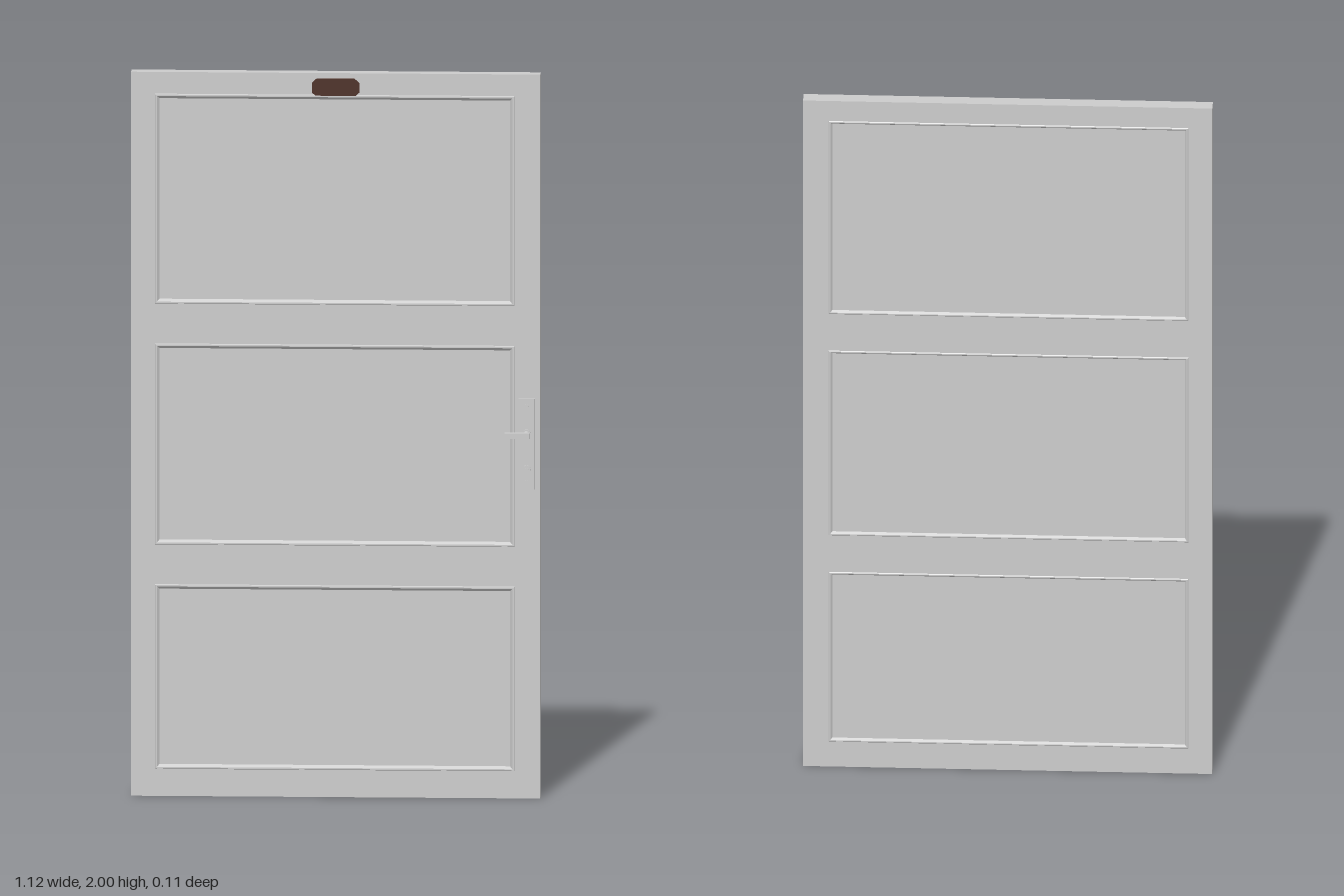
import * as THREE from 'three';

const FRONT = -0.012, BACK = -0.055;
const grey = new THREE.MeshStandardMaterial({ color: 0xcccccc, flatShading: true });
const smooth = new THREE.MeshStandardMaterial({ color: 0xcccccc });
const brown = new THREE.MeshStandardMaterial({ color: 0x4a2a20 });

// panel openings: [x0, y0, x1, y1]
const OPENINGS = [
  [-0.495, 1.36, 0.49, 1.94],
  [-0.495, 0.695, 0.49, 1.25],
  [-0.495, 0.075, 0.49, 0.585],
];

const corners = ([x0, y0, x1, y1], i = 0) =>
  [[x0 + i, y0 + i], [x1 - i, y0 + i], [x1 - i, y1 - i], [x0 + i, y1 - i]];

function polygon(points, Type = THREE.Shape) {
  return new Type(points.map(([x, y]) => new THREE.Vector2(x, y)));
}

function add(parent, name, geometry, material, x = 0, y = 0, z = 0) {
  const mesh = new THREE.Mesh(geometry, material);
  mesh.name = name;
  mesh.position.set(x, y, z);
  parent.add(mesh);
  return mesh;
}

// nested rectangles of [inset, z], closed by a flat panel at the last one
function panelGeometry(rect, profile, facesBack) {
  const pos = [];
  const idx = [];
  profile.forEach(([inset, z]) => corners(rect, inset).forEach(([x, y]) => pos.push(x, y, z)));
  const quad = (a, b, c, d) =>
    (facesBack ? idx.push(a, c, b, a, d, c) : idx.push(a, b, c, a, c, d));
  for (let r = 0; r < profile.length - 1; r++) {
    for (let k = 0; k < 4; k++) {
      const n = (k + 1) % 4;
      quad(r * 4 + k, r * 4 + n, r * 4 + 4 + n, r * 4 + 4 + k);
    }
  }
  const last = (profile.length - 1) * 4;
  quad(last, last + 1, last + 2, last + 3);
  const indexed = new THREE.BufferGeometry();
  indexed.setAttribute('position', new THREE.Float32BufferAttribute(pos, 3));
  indexed.setIndex(idx);
  const g = indexed.toNonIndexed();
  g.computeVertexNormals();
  return g;
}

function createHandle() {
  const handle = new THREE.Group();
  handle.name = 'doorHandle';
  const cx = 0.523;
  add(handle, 'handlePlate', new THREE.BoxGeometry(0.045, 0.25, 0.011), grey, cx, 0.98, -0.0065);

  // round parts that stand out from the plate: [name, radius, y, z0, z1]
  const rounds = [
    ['handleCollar', 0.011, 1.01, -0.002, 0.006],
    ['handleSpindle', 0.008, 1.01, 0, 0.048],
    ['lockCylinder', 0.012, 0.91, -0.002, 0.006],
    ['lockCore', 0.006, 0.91, 0.005, 0.01],
    ['upperScrew', 0.005, 1.085, -0.002, 0.001],
    ['lowerScrew', 0.005, 0.875, -0.002, 0.001],
  ];
  for (const [name, r, y, z0, z1] of rounds) {
    add(handle, name, new THREE.CylinderGeometry(r, r, z1 - z0, 20), smooth, cx, y, (z0 + z1) / 2)
      .rotation.x = Math.PI / 2;
  }

  // lever pointing towards the middle of the door
  add(handle, 'handleLever', new THREE.BoxGeometry(0.068, 0.016, 0.016), grey, 0.499, 1.01, 0.047);
  return handle;
}

export function createModel() {
  const door = new THREE.Group();
  door.name = 'door';

  // stiles and rails in one slab with three openings
  const slab = polygon([[-0.56, 0], [0.56, 0], [0.56, 2], [-0.56, 2]]);
  OPENINGS.forEach((o) => slab.holes.push(polygon(corners(o), THREE.Path)));
  add(door, 'doorFrame',
    new THREE.ExtrudeGeometry(slab, { depth: FRONT - BACK, bevelEnabled: false }), grey, 0, 0, BACK);

  // moulded panels on both faces
  const frontProfile = [[0, FRONT], [0.002, -0.007], [0.006, -0.007], [0.013, -0.016]];
  const backProfile = [[0, BACK], [0.002, -0.057], [0.005, -0.057], [0.01, -0.05]];
  for (const o of OPENINGS) {
    add(door, 'frontPanel', panelGeometry(o, frontProfile, false), grey);
    add(door, 'backPanel', panelGeometry(o, backProfile, true), grey);
  }

  // thin sign sheet on the upper rail
  add(door, 'signSheet', new THREE.PlaneGeometry(0.325, 0.085), grey, 0, 1.308, -0.008);

  // number plate with clipped corners
  const plate = polygon([
    [-0.052, -0.025], [0.052, -0.025], [0.065, -0.013], [0.065, 0.013],
    [0.052, 0.025], [-0.052, 0.025], [-0.065, 0.013], [-0.065, -0.013],
  ]);
  add(door, 'numberPlate',
    new THREE.ExtrudeGeometry(plate, { depth: 0.005, bevelEnabled: false }), brown, 0, 1.96, FRONT);

  door.add(createHandle());
  return door;
}
